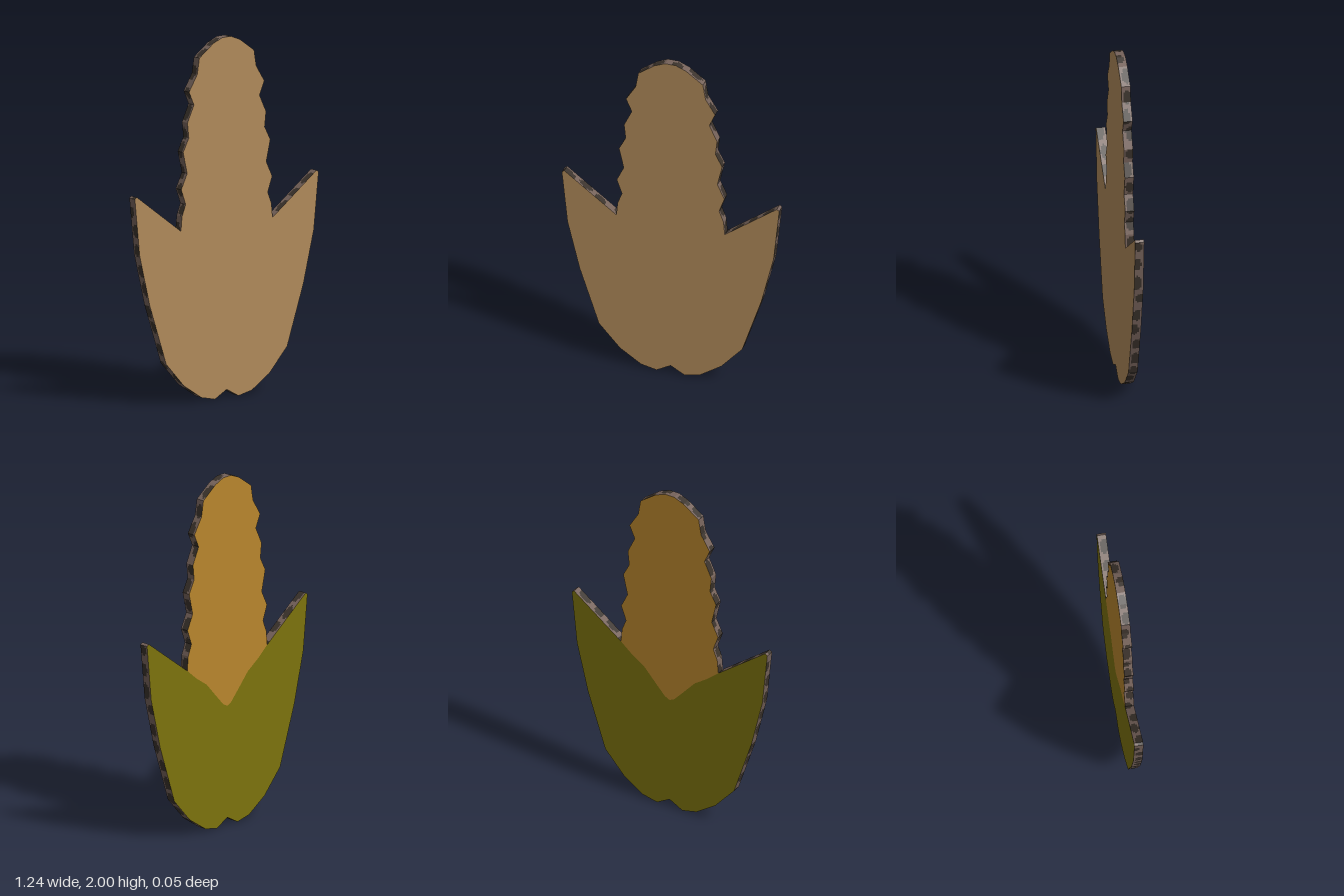
import * as THREE from 'three';

const T = 0.025; // half thickness of the plate

const mat = (name, color) => {
  const m = new THREE.MeshStandardMaterial({ color });
  m.name = name;
  return m;
};

// Right half outlines, bottom to top
const husk = [
  [0.08, 0], [0.17, 0.02], [0.29, 0.1], [0.41, 0.235], [0.52, 0.57],
  [0.59, 0.86], [0.622, 1.175], [0.608, 1.185], [0.31, 0.96],
];
const cob = [
  [0.303, 1.04], [0.278, 1.105], [0.308, 1.19], [0.268, 1.275], [0.295, 1.395],
  [0.257, 1.47], [0.266, 1.555], [0.222, 1.65], [0.255, 1.725], [0.2, 1.815],
  [0.185, 1.905], [0.09, 1.975], [0.03, 2],
];
// Edge where the husk overlaps the cob, from the notch down to the middle
const overlap = [[0.24, 0.9], [0.16, 0.845], [0.08, 0.755], [0.03, 0.7]];
const bottom = [0, 0.045];
const vee = [0, 0.685];
const notch = husk[husk.length - 1];

const mirrored = (pts) => pts.map(([x, y]) => [-x, y]).reverse();
const toShape = (pts) => new THREE.Shape(pts.map(([x, y]) => new THREE.Vector2(x, y)));

const outline = [bottom, ...husk, ...cob, ...mirrored([...husk, ...cob])];
const huskOutline = [bottom, ...husk, ...overlap, vee, ...mirrored([...husk, ...overlap])];
const cobSide = [...overlap.slice().reverse(), notch, ...cob];
const cobOutline = [vee, ...cobSide, ...mirrored(cobSide)];

function face(name, pts, material, back) {
  const geo = new THREE.ShapeGeometry(toShape(pts));
  if (back) geo.rotateY(Math.PI);
  geo.translate(0, 0, back ? -T : T);
  const mesh = new THREE.Mesh(geo, material);
  mesh.name = name;
  return mesh;
}

// Mottled rim: one elongated spot per cell along the perimeter
function seeded(n) {
  const v = Math.sin(n * 127.1 + 3.7) * 43758.5453;
  return v - Math.floor(v);
}

function isSpot(s, z) {
  const cell = 0.115;
  const i = Math.floor(s / cell);
  const cs = (i + 0.4 + 0.2 * seeded(i)) * cell;
  const cz = (seeded(i + 50) - 0.5) * 0.03;
  const rs = 0.03 + 0.02 * seeded(i + 90);
  return ((s - cs) / rs) ** 2 + ((z - cz) / 0.024) ** 2 < 1;
}

function rim(lightMaterial, darkMaterial) {
  const rows = 5;
  const tiles = [[], []];
  let travelled = 0;
  outline.forEach((a, i) => {
    const b = outline[(i + 1) % outline.length];
    const length = Math.hypot(b[0] - a[0], b[1] - a[1]);
    const steps = Math.max(1, Math.round(length / 0.012));
    for (let k = 0; k < steps; k++) {
      const at = (t) => [a[0] + (b[0] - a[0]) * t, a[1] + (b[1] - a[1]) * t];
      const p = at(k / steps);
      const q = at((k + 1) / steps);
      for (let r = 0; r < rows; r++) {
        const z0 = T - (2 * T * r) / rows;
        const z1 = T - (2 * T * (r + 1)) / rows;
        const s = travelled + (length * (k + 0.5)) / steps;
        tiles[isSpot(s, (z0 + z1) / 2) ? 1 : 0].push(
          ...p, z0, ...p, z1, ...q, z1,
          ...p, z0, ...q, z1, ...q, z0,
        );
      }
    }
    travelled += length;
  });
  const geo = new THREE.BufferGeometry();
  geo.setAttribute('position', new THREE.Float32BufferAttribute(tiles.flat(), 3));
  geo.addGroup(0, tiles[0].length / 3, 0);
  geo.addGroup(tiles[0].length / 3, tiles[1].length / 3, 1);
  geo.computeVertexNormals();
  const mesh = new THREE.Mesh(geo, [lightMaterial, darkMaterial]);
  mesh.name = 'mottledRim';
  return mesh;
}

export function createModel() {
  const group = new THREE.Group();
  group.name = 'cornCutout';
  group.add(
    face('plainFront', outline, mat('tan', 0xb08a5a), false),
    face('cobBack', cobOutline, mat('corn yellow', 0xb8862d), true),
    face('huskBack', huskOutline, mat('husk green', 0x7c720d), true),
    rim(mat('rim brown', 0x75625a), mat('rim dark brown', 0x3a322b)),
  );
  return group;
}
